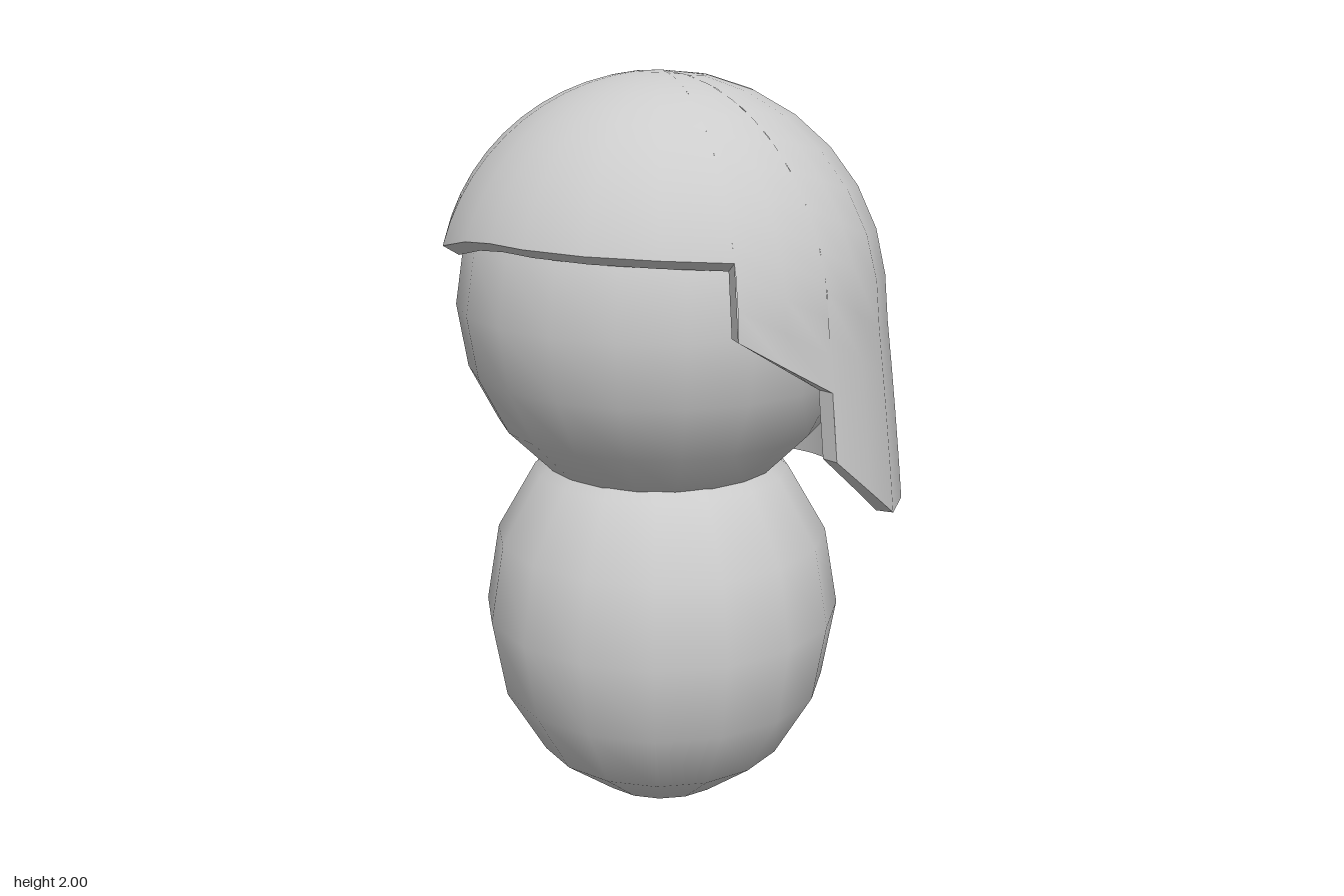
import * as THREE from 'three';

const CENTRE_Y = 1.41, CENTRE_Z = 0.05, ROWS = 12;

// Point and normal on the helmet section, cut off at bottom height yb; t runs 0 (crown) to 1 (rim)
function section(r, yb, t) {
  const arc = r * Math.PI / 2;
  const end = yb > CENTRE_Y ? r * Math.acos((yb - CENTRE_Y) / r) : arc + CENTRE_Y - yb;
  const s = end * t;
  if (s <= arc) {
    const p = s / r;
    return { rad: r * Math.sin(p), y: CENTRE_Y + r * Math.cos(p), nr: Math.sin(p), ny: Math.cos(p) };
  }
  const d = s - arc; // neck guard flares outward
  return { rad: r + 0.13 * d - 0.03 * d * d, y: CENTRE_Y - d, nr: 0.995, ny: 0.1 };
}

// Helmet rim: [angle from front, height]; repeated angles are the steps of the face opening
const STEP = 1.134, SIDE = Math.PI / 2;
function rimHalf(side) {
  const brow = side > 0 ? [1.62, 1.618, 1.615, 1.61, 1.6] : [1.62, 1.61, 1.575, 1.565, 1.555];
  const front = [0, 0.2, 0.5, 0.82, STEP].map((a, i) => [a, brow[i], 0.025]);
  const back = [
    [STEP, 1.42], [1.35, 1.345], [SIDE, 1.27],
    [SIDE, 1.1], [1.78, 0.995], [2.0, 0.9], [2.34, 0.87], [2.62, 0.862], [2.88, 0.86], [Math.PI, 0.86],
  ].map(([a, y]) => [a, y, 0]);
  return [...front, ...back].map(([a, y, drop]) => [a * side, y, drop]);
}

function helmetGeometry() {
  const columns = [...rimHalf(1), ...rimHalf(-1).reverse()];
  const pos = [], nor = [], idx = [];
  const point = (a, r, yb, t) => {
    const s = section(r, yb, t);
    return {
      p: new THREE.Vector3(Math.sin(a) * s.rad, s.y, CENTRE_Z + Math.cos(a) * s.rad),
      n: new THREE.Vector3(Math.sin(a) * s.nr, s.ny, Math.cos(a) * s.nr),
    };
  };
  const add = (p, n) => {
    pos.push(p.x, p.y, p.z);
    nor.push(n.x, n.y, n.z);
    return pos.length / 3 - 1;
  };
  const quad = (a, b, c, d) => idx.push(a, b, c, a, c, d);

  // Outer and inner shells
  for (const [r, inner] of [[0.59, false], [0.545, true]]) {
    const grid = columns.map(([a, y, drop]) => Array.from({ length: ROWS + 1 }, (_, k) => {
      const { p, n } = point(a, r, inner ? y - drop : y, k / ROWS);
      return add(p, inner ? n.negate() : n);
    }));
    for (let j = 0; j < columns.length - 1; j++) {
      if (Math.abs(Math.sin((columns[j][0] - columns[j + 1][0]) / 2)) < 1e-4) continue;
      for (let k = 0; k < ROWS; k++) {
        const q = [grid[j][k], grid[j][k + 1], grid[j + 1][k + 1], grid[j + 1][k]];
        quad(...(inner ? q.reverse() : q));
      }
    }
  }

  // Flat rim joining both shells, including the stepped edges
  for (let j = 0; j < columns.length - 1; j++) {
    const [c, d] = [columns[j], columns[j + 1]];
    const v = [
      point(c[0], 0.59, c[1], 1).p, point(c[0], 0.545, c[1] - c[2], 1).p,
      point(d[0], 0.545, d[1] - d[2], 1).p, point(d[0], 0.59, d[1], 1).p,
    ];
    const n = v[2].clone().sub(v[0]).cross(v[3].clone().sub(v[1])).normalize();
    quad(...v.map((p) => add(p, n)));
  }

  const g = new THREE.BufferGeometry();
  g.setAttribute('position', new THREE.Float32BufferAttribute(pos, 3));
  g.setAttribute('normal', new THREE.Float32BufferAttribute(nor, 3));
  g.setIndex(idx);
  return g;
}

export function createModel() {
  const group = new THREE.Group();
  const grey = new THREE.MeshStandardMaterial({ color: 0xcccccc });
  grey.name = 'light grey';

  const part = (name, geometry) => {
    const mesh = new THREE.Mesh(geometry, grey);
    mesh.name = name;
    group.add(mesh);
    return mesh;
  };

  // Egg-shaped body
  const body = part('body', new THREE.SphereGeometry(0.485, 16, 8));
  body.scale.y = 0.56 / 0.485;
  body.position.set(0, 0.56, CENTRE_Z);

  // Round head
  const head = part('head', new THREE.SphereGeometry(0.535, 20, 10));
  head.position.set(0, CENTRE_Y, CENTRE_Z);

  // Helmet with open face and neck guard
  part('helmet', helmetGeometry());

  return group;
}
